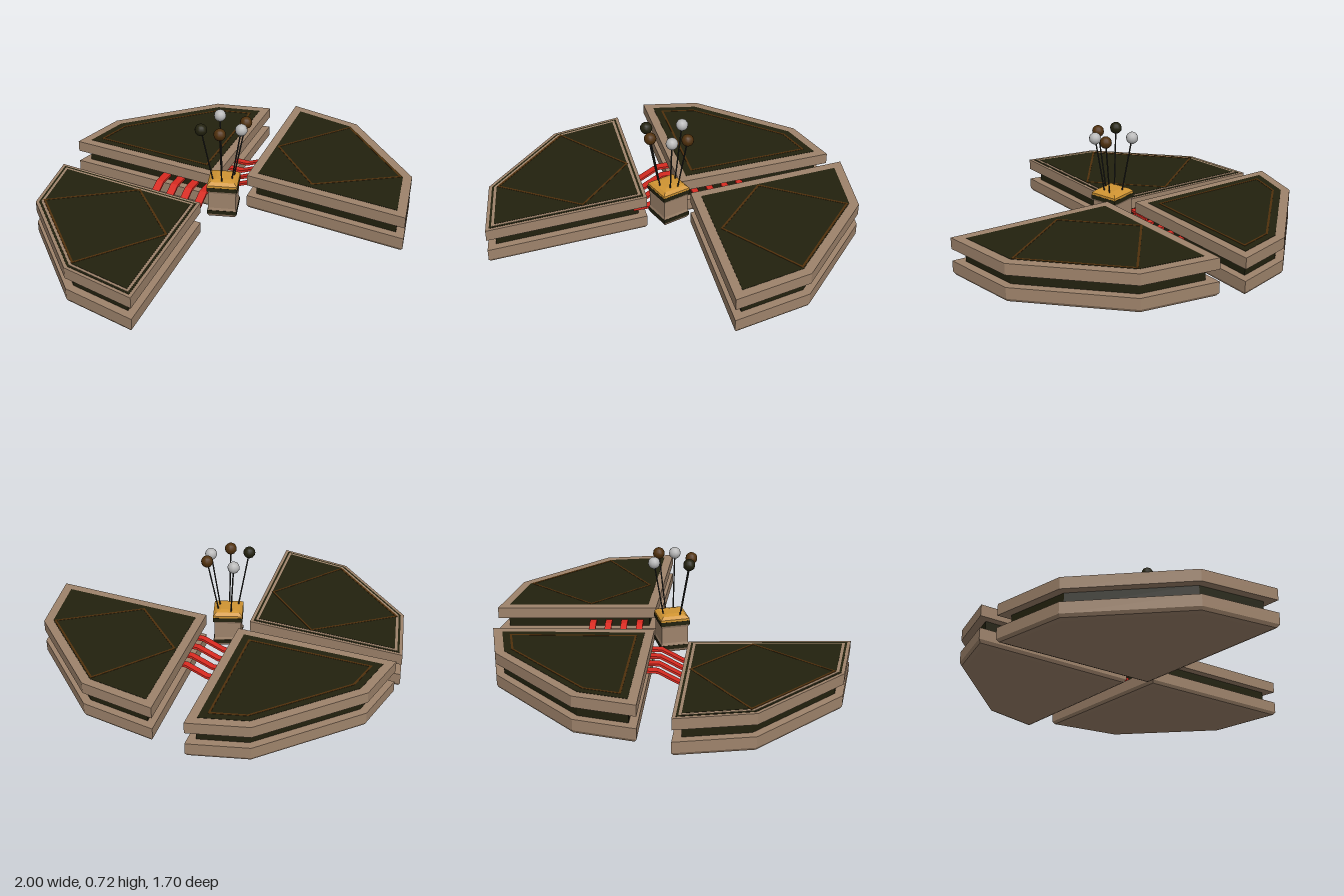
import * as THREE from 'three';

const mat = (name, color) => {
  const m = new THREE.MeshStandardMaterial({ color });
  m.name = name;
  return m;
};

// Move a convex outline of [x, z] points inwards by d (outline runs counter-clockwise seen from above)
function inset(pts, d) {
  const n = pts.length;
  const normal = (a, b) => {
    const dx = b[0] - a[0], dz = b[1] - a[1], l = Math.hypot(dx, dz);
    return [dz / l, -dx / l];
  };
  return pts.map((p, i) => {
    const n1 = normal(pts[(i + n - 1) % n], p), n2 = normal(p, pts[(i + 1) % n]);
    const k = d / (1 + n1[0] * n2[0] + n1[1] * n2[1]);
    return [p[0] + (n1[0] + n2[0]) * k, p[1] + (n1[1] + n2[1]) * k];
  });
}

// Closed solid through rings of [height, inset], listed from bottom to top
function loft(outline, rings) {
  const n = outline.length, pos = [];
  const R = rings.map(([y, d]) => inset(outline, d).map(([x, z]) => [x, y, z]));
  const tri = (a, b, c) => pos.push(...a, ...b, ...c);
  for (let r = 0; r < R.length - 1; r++) {
    for (let j = 0; j < n; j++) {
      const k = (j + 1) % n;
      tri(R[r][j], R[r][k], R[r + 1][k]);
      tri(R[r][j], R[r + 1][k], R[r + 1][j]);
    }
  }
  const lo = R[0], hi = R[R.length - 1];
  for (let j = 1; j < n - 1; j++) {
    tri(lo[0], lo[j + 1], lo[j]);
    tri(hi[0], hi[j], hi[j + 1]);
  }
  const g = new THREE.BufferGeometry();
  g.setAttribute('position', new THREE.Float32BufferAttribute(pos, 3));
  g.computeVertexNormals();
  return g;
}

export function createModel() {
  const tan = mat('tan', 0x9e836b), dark = mat('dark olive', 0x22210e);
  const brown = mat('brown', 0x50300c), gold = mat('gold', 0xd09432);
  const red = mat('red', 0xd82a20), silver = mat('silver', 0xb8b8b8);
  const wire = mat('wire', 0x2a2a28);

  const model = new THREE.Group();
  const add = (parent, name, geo, material) => {
    const m = new THREE.Mesh(geo, material);
    m.name = name;
    parent.add(m);
    return m;
  };

  // Thin painted line on a top surface
  const line = (parent, a, b, y) => {
    const dx = b[0] - a[0], dz = b[1] - a[1];
    const m = add(parent, 'inlayLine', new THREE.BoxGeometry(Math.hypot(dx, dz) + 0.01, 0.003, 0.012), brown);
    m.position.set((a[0] + b[0]) / 2, y, (a[1] + b[1]) / 2);
    m.rotation.y = -Math.atan2(dz, dx);
  };

  // Wedge pads: lower slab, dark core, upper slab, inlaid top
  const mirror = pts => pts.map(([x, z]) => [-x, z]).reverse();
  const side = [[0.14, 0.145], [0.755, 0.845], [1, 0.485], [1, -0.19], [0.755, -0.55]];
  const back = [[0, 0.01], [0.63, -0.67], [0.34, -0.85], [-0.34, -0.85], [-0.63, -0.67]];
  const pads = [
    { name: 'leftPad', outline: side, y: 0.12, layers: [0.05],
      inlay: [[0.44, -0.1], [0.94, -0.165], [0.94, 0.46], [0.44, 0.36]] },
    { name: 'rightPad', outline: mirror(side), y: 0, layers: [0.018, 0.03, 0.045],
      inlay: [[-0.42, -0.1], [-0.95, -0.185], [-0.95, 0.46], [-0.42, 0.385]] },
    { name: 'backPad', outline: back, y: 0.068, layers: [0.05], inlay: inset(back, 0.096) },
  ];
  for (const { name, outline, y, layers, inlay } of pads) {
    const pad = new THREE.Group();
    pad.name = name;
    pad.position.y = y;
    model.add(pad);
    add(pad, 'lowerSlab', loft(outline, [[0, 0.03], [0.008, 0.01], [0.025, 0], [0.088, 0]]), tan);
    add(pad, 'core', loft(outline, [[0.086, 0.045], [0.158, 0.045]]), dark);
    add(pad, 'upperSlab', loft(outline, [[0.156, 0], [0.22, 0]]), tan);
    let top = 0.22;
    layers.forEach((d, i) => {
      add(pad, 'topInlay', loft(outline, [[top - 0.001, d], [top + 0.0015, d]]), i % 2 ? tan : dark);
      top += 0.0015;
    });
    inlay.forEach((p, i) => line(pad, p, inlay[(i + 1) % inlay.length], top));
  }

  // Stepped red ribbons joining the back pad to each side pad
  const ribbon = (name, x, z, angle, y0, y1, width) => {
    const t = 0.007;
    const path = [[-0.16, y0], [-0.06, y0], [0.06, y1], [0.16, y1]];
    const shape = new THREE.Shape([
      ...path.map(([s, y]) => new THREE.Vector2(s, y - t)),
      ...path.slice().reverse().map(([s, y]) => new THREE.Vector2(s, y + t)),
    ]);
    const g = new THREE.ExtrudeGeometry(shape, { depth: width, bevelEnabled: false });
    g.translate(0, 0, -width / 2);
    const m = add(model, name, g, red);
    m.position.set(x, 0, z);
    m.rotation.y = angle;
  };
  for (let i = 0; i < 4; i++) {
    ribbon('leftRibbon', 0.15 + 0.064 * i, 0.02 - 0.066 * i, -Math.PI / 4, 0.19, 0.24, 0.038);
    ribbon('rightRibbon', -0.115 - 0.064 * i, 0.045 - 0.068 * i, -Math.PI * 3 / 4, 0.19, 0.125, 0.046);
  }

  // Square hub with dark bands and a domed cushion
  const hub = new THREE.Group();
  hub.name = 'hub';
  hub.position.set(0, 0, 0.143);
  hub.rotation.y = -0.49;
  model.add(hub);
  const s = 0.085;
  const square = [[-s, s], [s, s], [s, -s], [-s, -s]];
  add(hub, 'foot', loft(square, [[0.145, 0.012], [0.165, 0.002]]), tan);
  add(hub, 'lowerBand', loft(square, [[0.163, 0.002], [0.185, 0.002]]), dark);
  add(hub, 'body', loft(square, [[0.184, 0.004], [0.2, 0.008], [0.295, 0.008], [0.31, 0.002]]), tan);
  add(hub, 'upperBand', loft(square, [[0.308, 0], [0.332, 0]]), dark);
  add(hub, 'cushion', loft(square, [[0.33, 0.001], [0.345, 0.001], [0.36, 0.018], [0.367, 0.045]]), gold);

  // Pins with ball heads, fanning out of the cushion
  const pins = [
    [-0.135, 0.147, dark], [-0.06, 0.235, brown], [0.022, 0.025, silver],
    [0.068, 0.225, silver], [0.125, 0.153, brown],
  ];
  const up = new THREE.Vector3(0, 1, 0);
  for (const [x, z, material] of pins) {
    const head = new THREE.Vector3(x, 0.683, z);
    const base = new THREE.Vector3(x * 0.48, 0.355, 0.143 + (z - 0.143) * 0.48);
    const dir = head.clone().sub(base);
    const stem = add(model, 'pinStem', new THREE.CylinderGeometry(0.004, 0.004, dir.length(), 6), wire);
    stem.position.copy(base).add(head).multiplyScalar(0.5);
    stem.quaternion.setFromUnitVectors(up, dir.clone().normalize());
    add(model, 'pinHead', new THREE.SphereGeometry(0.034, 12, 8), material).position.copy(head);
  }
  return model;
}
